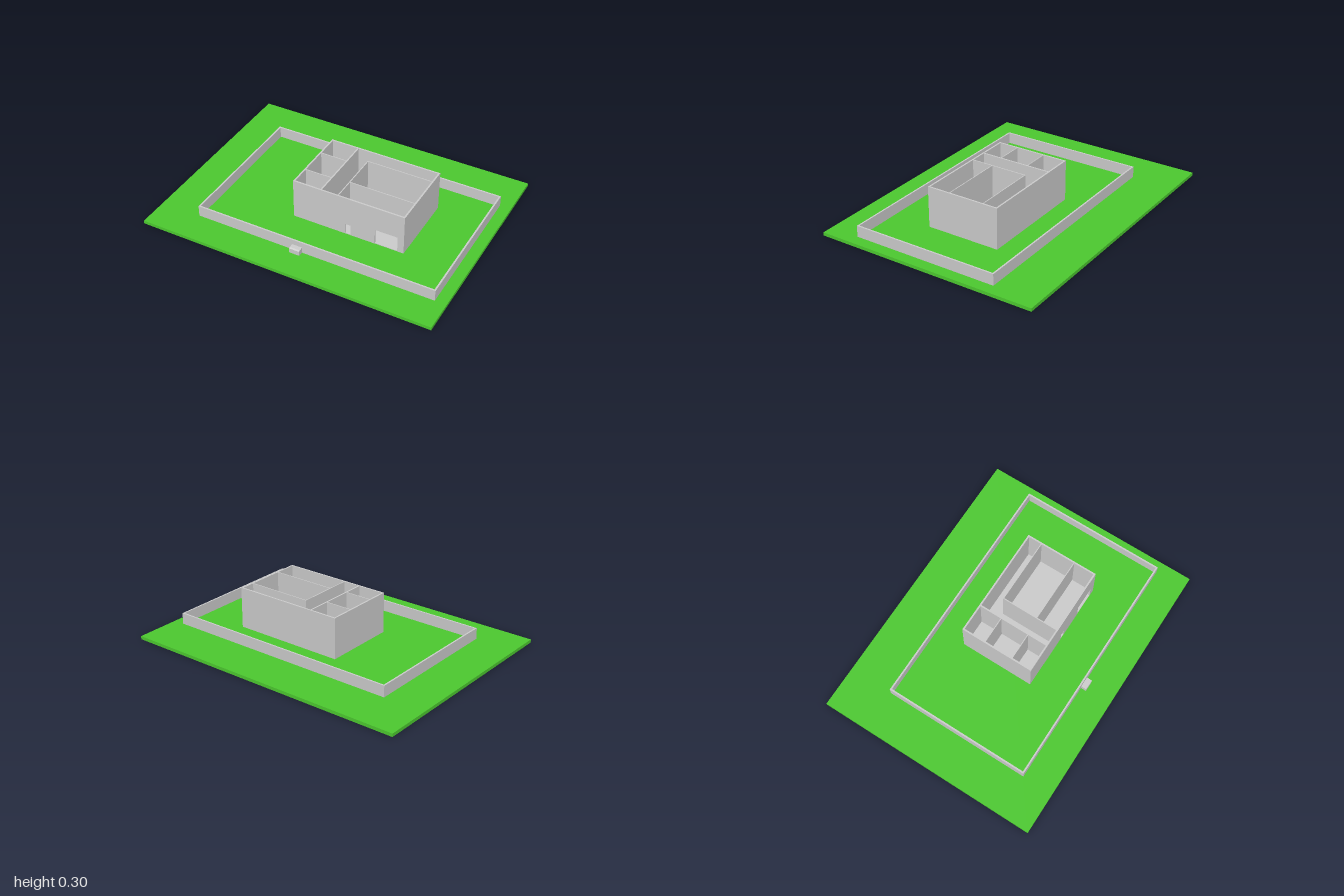
import * as THREE from 'three';

const GROUND = 0.022, FENCE_TOP = 0.098, HOUSE_TOP = 0.3, WALL = 0.011;
const grey = new THREE.MeshStandardMaterial({ color: 0xcccccc, flatShading: true });
const green = new THREE.MeshStandardMaterial({ color: 0x4cc92f, flatShading: true });

export function createModel() {
  const model = new THREE.Group();

  const add = (parent, name, geometry, material = grey) => {
    const mesh = new THREE.Mesh(geometry, material);
    mesh.name = name;
    parent.add(mesh);
    return mesh;
  };

  // Box given by its limits on each axis
  const box = (parent, name, [x0, x1], [y0, y1], [z0, z1], material) =>
    add(parent, name, new THREE.BoxGeometry(x1 - x0, y1 - y0, z1 - z0), material)
      .position.set((x0 + x1) / 2, (y0 + y1) / 2, (z0 + z1) / 2);

  // Lawn
  box(model, 'lawn', [-1, 1], [0, GROUND], [-0.76, 0.76], green);

  // Boundary wall: rectangular ring raised from the lawn
  const ring = new THREE.Shape([[-0.72, -0.55], [0.925, -0.55], [0.925, 0.455], [-0.72, 0.455]]
    .map(p => new THREE.Vector2(...p)));
  ring.holes.push(new THREE.Path([[-0.709, -0.539], [-0.709, 0.444], [0.914, 0.444], [0.914, -0.539]]
    .map(p => new THREE.Vector2(...p))));
  const boundary = add(model, 'boundaryWall',
    new THREE.ExtrudeGeometry(ring, { depth: FENCE_TOP - GROUND, bevelEnabled: false }));
  boundary.rotation.x = -Math.PI / 2;
  boundary.position.y = GROUND;

  // Letter box on the front boundary wall, with a sloping upper face
  const profile = new THREE.Shape([[0.55, 0.025], [0.587, 0.025], [0.587, 0.056], [0.578, 0.061], [0.55, 0.063]]
    .map(p => new THREE.Vector2(...p)));
  const letterBox = add(model, 'letterBox',
    new THREE.ExtrudeGeometry(profile, { depth: 0.07, bevelEnabled: false }));
  letterBox.rotation.y = -Math.PI / 2;
  letterBox.position.x = 0.035;

  // House
  const house = new THREE.Group();
  house.name = 'house';
  model.add(house);
  const X = [-0.19, 0.583], Z = [-0.245, 0.263], Y = [GROUND, HOUSE_TOP];
  box(house, 'floor', X, [GROUND, GROUND + 0.004], [Z[0], Z[1] - 0.001]);

  // Front wall with a doorway and a wide garage opening, both down to the ground
  const front = new THREE.Shape([
    [X[0], Y[0]], [0.18, Y[0]], [0.18, 0.098], [0.215, 0.098], [0.215, Y[0]],
    [0.385, Y[0]], [0.385, 0.132], [0.54, 0.132], [0.54, Y[0]],
    [X[1], Y[0]], [X[1], Y[1]], [X[0], Y[1]],
  ].map(p => new THREE.Vector2(...p)));
  add(house, 'frontWall', new THREE.ExtrudeGeometry(front, { depth: WALL, bevelEnabled: false }))
    .position.z = Z[1] - WALL;

  // Other outer walls
  const inner = [Z[0] + WALL, Z[1] - WALL];
  box(house, 'backWall', X, Y, [Z[0], Z[0] + WALL]);
  box(house, 'rightWall', [X[0], X[0] + WALL], Y, inner);
  box(house, 'leftWall', [X[1] - WALL, X[1]], Y, inner);

  // Partitions along z
  box(house, 'hallWallRight', [0.001, 0.011], Y, inner);
  box(house, 'hallWallLeft', [0.122, 0.129], Y, [-0.144, inner[1]]);

  // Partitions along x: two between the small rooms, two around the large room
  for (const [x0, x1, z] of [
    [X[0] + WALL, 0.001, -0.08], [X[0] + WALL, 0.001, 0.12],
    [0.129, X[1] - WALL, -0.141], [0.129, X[1] - WALL, 0.106],
  ]) box(house, 'partition', [x0, x1], Y, [z - 0.003, z + 0.003]);

  // Low ramp in the rear passage
  const ramp = new THREE.Shape([[0.45, Y[0]], [0.57, Y[0]], [0.45, 0.07]]
    .map(p => new THREE.Vector2(...p)));
  add(house, 'ramp', new THREE.ExtrudeGeometry(ramp, { depth: 0.049, bevelEnabled: false }))
    .position.z = -0.193;

  return model;
}
